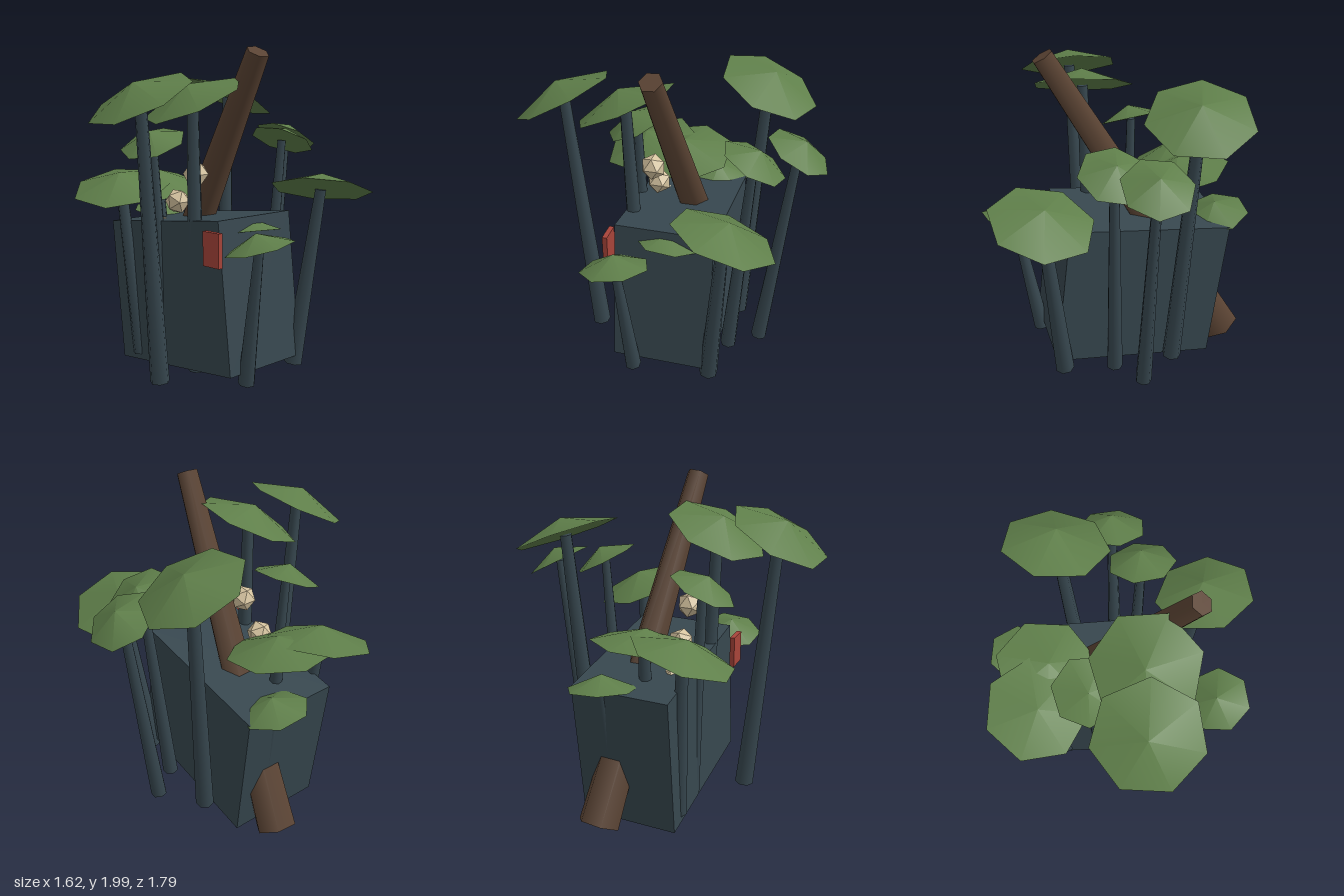
import * as THREE from 'three';

const slate = new THREE.MeshStandardMaterial({ name: 'slate', color: 0x37474f });
const leaf = new THREE.MeshStandardMaterial({ name: 'leafGreen', color: 0x5f7f4a });
const bark = new THREE.MeshStandardMaterial({ name: 'bark', color: 0x5a4333 });
const cream = new THREE.MeshStandardMaterial({ name: 'cream', color: 0xd6c4a0, flatShading: true });
const red = new THREE.MeshStandardMaterial({ name: 'red', color: 0xa8443a });

const UP = new THREE.Vector3(0, 1, 0);

function add(parent, name, geometry, material) {
  const mesh = new THREE.Mesh(geometry, material);
  mesh.name = name;
  parent.add(mesh);
  return mesh;
}

// tapered round bar from point a to point b
function bar(parent, name, a, b, rA, rB, sides, material) {
  const dir = b.clone().sub(a);
  const mesh = add(parent, name, new THREE.CylinderGeometry(rB, rA, dir.length(), sides), material);
  mesh.quaternion.setFromUnitVectors(UP, dir.normalize());
  mesh.position.copy(a).add(b).multiplyScalar(0.5);
}

// leaning post topped by a seven-sided canopy tilted away from the middle
function tree([x, y, z, large, spin]) {
  const group = new THREE.Group();
  group.name = 'tree';
  const top = new THREE.Vector3(x, y, z);
  const foot = new THREE.Vector3(x * 0.78, 0.075, z * 0.78);
  bar(group, 'post', foot, top, large ? 0.058 : 0.05, large ? 0.034 : 0.027, 7, slate);

  const r = large ? 0.31 : 0.205;
  const h = large ? 0.1 : 0.085;
  const cone = new THREE.ConeGeometry(r, h, 7);
  cone.translate(0, h / 2, 0);
  cone.rotateY(THREE.MathUtils.degToRad(spin));
  const canopy = add(group, 'canopy', cone, leaf);
  const d = Math.hypot(x, z);
  canopy.position.copy(top);
  canopy.rotation.set(0.49 * z / d, 0, 0.2 * x / d);
  return group;
}

export function createModel() {
  const model = new THREE.Group();
  model.name = 'treeBlock';

  // tilted block
  const block = add(model, 'block', new THREE.BoxGeometry(1.0, 0.9, 0.6), slate);
  block.position.set(-0.08, 0.525, -0.02);
  block.rotation.z = 0.115;

  // log driven through the block
  bar(model, 'log', new THREE.Vector3(-0.685, 0.07, -0.14), new THREE.Vector3(0.42, 1.97, 0.025),
    0.13, 0.068, 6, bark);

  // knobs beside the log
  for (const [x, y, z] of [[0.025, 1.26, 0.14], [-0.13, 1.08, 0.15], [-0.28, 0.9, 0.16]]) {
    add(model, 'knob', new THREE.IcosahedronGeometry(0.08, 0), cream).position.set(x, y, z);
  }

  // plate at the front corner
  add(model, 'plate', new THREE.BoxGeometry(0.13, 0.2, 0.03), red).position.set(0.365, 0.872, 0.322);

  // canopy centre x, y, z, large or small, spin in degrees
  const trees = [
    [-0.335, 1.71, -0.48, true, 32],
    [-0.02, 1.45, -0.72, false, 12],
    [0.15, 1.44, -0.49, false, 36],
    [0.54, 1.165, -0.41, true, 17],
    [-0.61, 0.925, -0.13, false, 35],
    [-0.43, 1.15, 0.05, true, 0],
    [-0.49, 1.15, 0.31, true, 33],
    [-0.18, 1.44, 0.3, false, 2],
    [0.14, 1.7, 0.265, true, 2],
    [0.135, 1.71, 0.64, true, 22],
    [0.61, 0.9, 0.2, false, 21],
    [0.3, 0.92, -0.04, false, 10],
  ];
  for (const t of trees) model.add(tree(t));

  return model;
}
